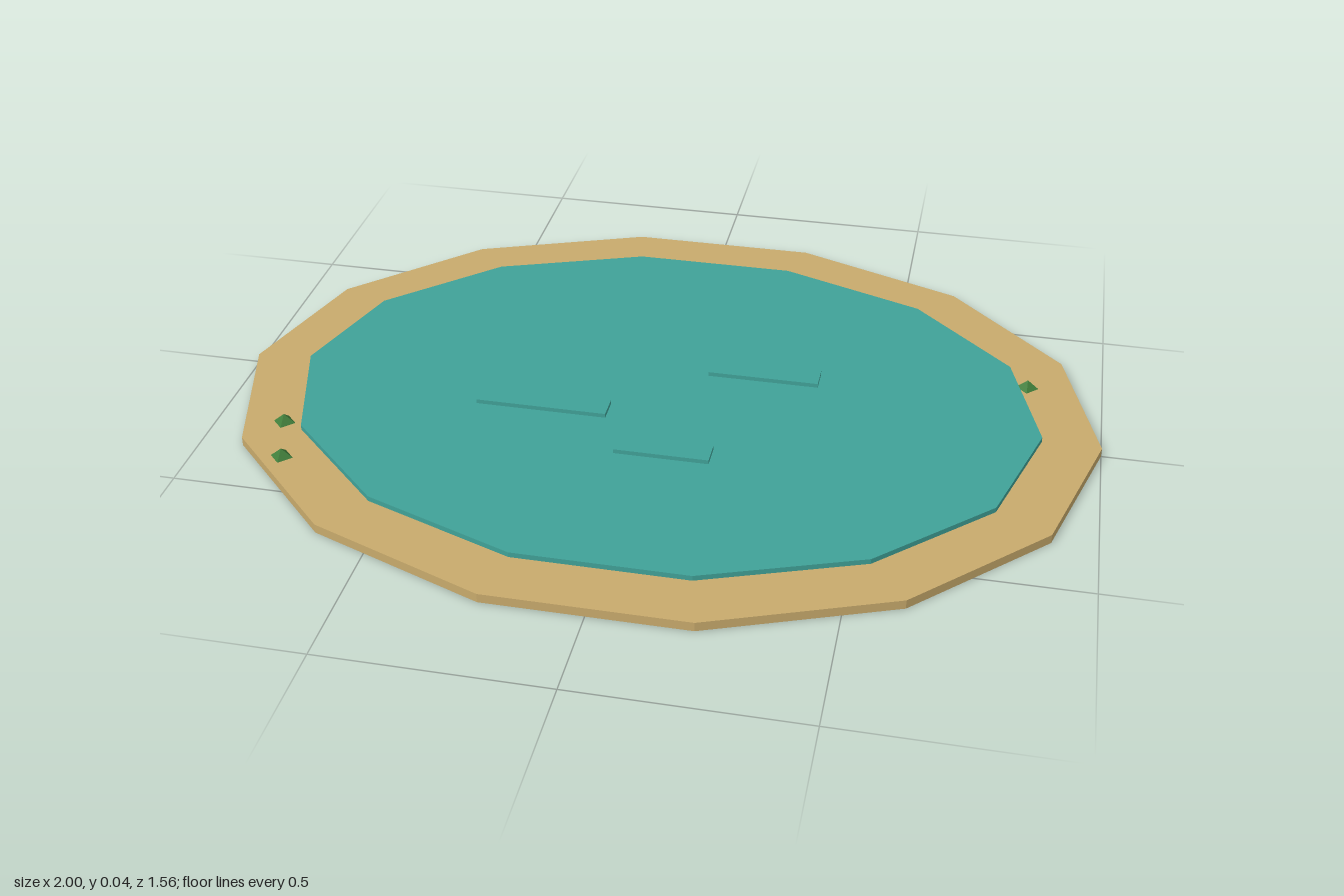
import * as THREE from 'three';

const flat = (name, color) => {
  const m = new THREE.MeshStandardMaterial({ color, flatShading: true });
  m.name = name;
  return m;
};

export function createModel() {
  const sand = flat('sand', 0xc8aa6c);
  const water = flat('water', 0x40a298);
  const green = flat('plant green', 0x3f7d3a);

  const group = new THREE.Group();
  group.name = 'pond';

  const add = (name, geometry, material, x, y, z) => {
    const mesh = new THREE.Mesh(geometry, material);
    mesh.name = name;
    mesh.position.set(x, y, z);
    group.add(mesh);
    return mesh;
  };

  // Fourteen-sided oval slab with a corner on the x axis
  const slab = (name, rx, rz, y0, y1, material) => {
    const g = new THREE.CylinderGeometry(1, 1, y1 - y0, 14, 1, false, Math.PI / 2);
    g.scale(rx, 1, rz);
    add(name, g, material, 0, (y0 + y1) / 2, 0);
  };
  slab('sandBank', 1, 0.8, 0, 0.021, sand);
  slab('waterSurface', 0.867, 0.667, 0.015, 0.033, water);

  // Raised ripples: x, z, length
  [[0.215, -0.135, 0.26], [-0.265, 0.09, 0.305], [0.045, 0.225, 0.215]].forEach(([x, z, length], i) =>
    add(`ripple${i + 1}`, new THREE.BoxGeometry(length, 0.012, 0.06), water, x, 0.037, z));

  // Small four-sided tufts on the bank
  [[-0.83, 0.267], [-0.785, 0.4], [0.825, -0.223]].forEach(([x, z], i) =>
    add(`tuft${i + 1}`, new THREE.ConeGeometry(0.027, 0.022, 4), green, x, 0.031, z));

  return group;
}
